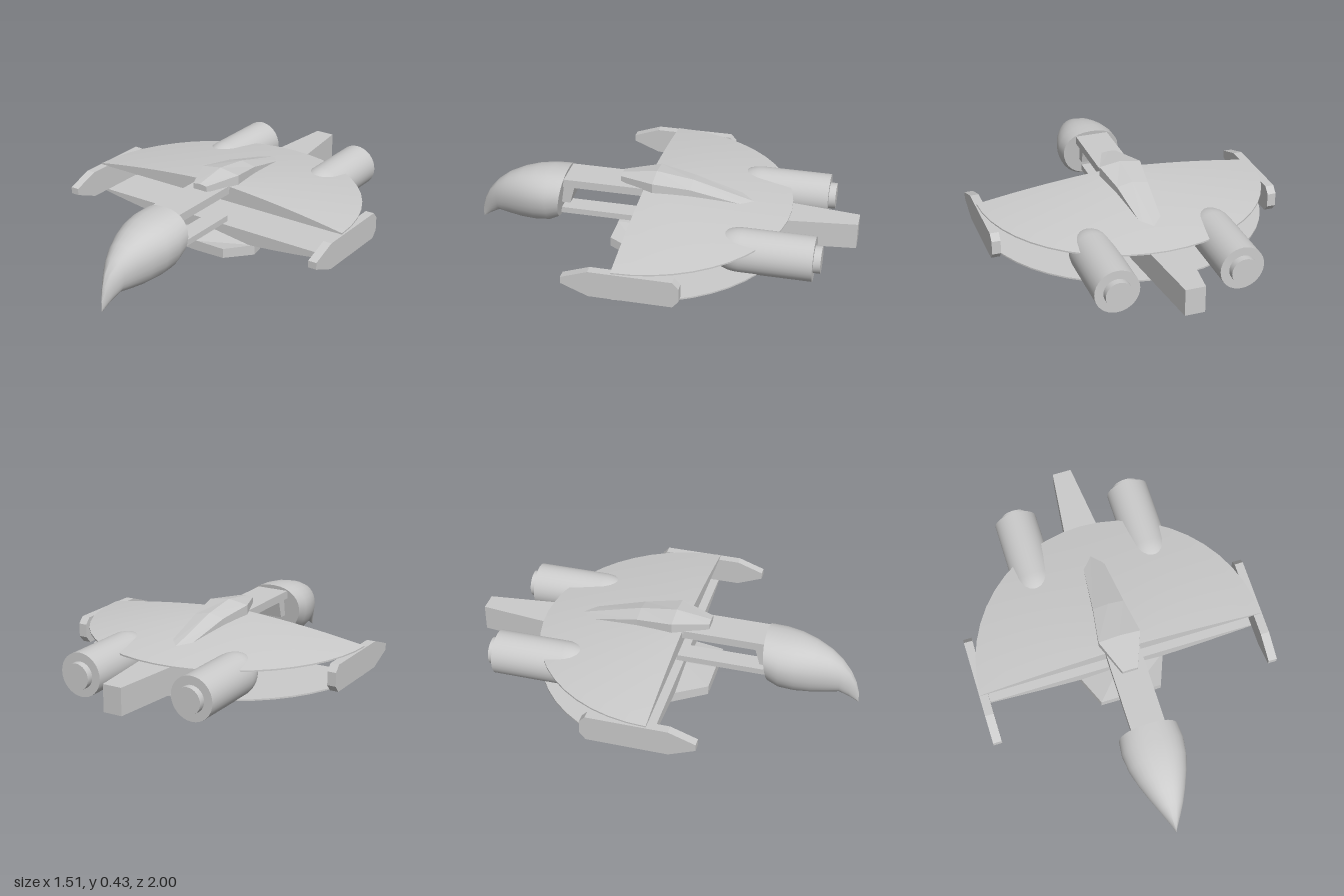
import * as THREE from 'three';
import { toCreasedNormals } from 'three/addons/utils/BufferGeometryUtils.js';

const grey = new THREE.MeshStandardMaterial({ color: 0xcccccc });
const flat = new THREE.MeshStandardMaterial({ color: 0xcccccc, flatShading: true });

function add(parent, name, geometry, material = grey) {
  const mesh = new THREE.Mesh(geometry, material);
  mesh.name = name;
  parent.add(mesh);
  return mesh;
}

// Skin over closed rings of [x, y, z], rear to front, each counterclockwise seen from the front
function loft(rings, crease = 0.5) {
  const pos = [];
  const tri = (...p) => p.forEach((v) => pos.push(...v));
  const n = rings[0].length;
  const centre = (ring) => [0, 1, 2].map((k) => ring.reduce((s, p) => s + p[k], 0) / n);
  const first = rings[0], last = rings[rings.length - 1];
  const c0 = centre(first), c1 = centre(last);
  for (let j = 0; j < n; j++) {
    const k = (j + 1) % n;
    for (let i = 0; i < rings.length - 1; i++) {
      const a = rings[i], b = rings[i + 1];
      tri(a[j], a[k], b[k]);
      tri(a[j], b[k], b[j]);
    }
    tri(c0, first[k], first[j]);
    tri(c1, last[j], last[k]);
  }
  const g = new THREE.BufferGeometry();
  g.setAttribute('position', new THREE.Float32BufferAttribute(pos, 3));
  g.computeVertexNormals();
  return toCreasedNormals(g, crease);
}

// Six-sided section: flat base, upright sides and a ridge at top and bottom
const ridged = ([z, half, low, lowEdge, highEdge, high]) => [
  [0, low, z], [half, lowEdge, z], [half, highEdge, z],
  [0, high, z], [-half, highEdge, z], [-half, lowEdge, z],
];

// Side outline of [z, y] given a thickness across x
function sidePlate(outline, width) {
  const shape = new THREE.Shape(outline.map(([z, y]) => new THREE.Vector2(-z, y)));
  const g = new THREE.ExtrudeGeometry(shape, { depth: width, bevelEnabled: false });
  return g.translate(0, 0, -width / 2).rotateY(Math.PI / 2);
}

function box(w, y0, y1, z0, z1) {
  return new THREE.BoxGeometry(w, y1 - y0, z1 - z0).translate(0, (y0 + y1) / 2, (z0 + z1) / 2);
}

// Half-disc wing with one domed side; flip turns the dome downward
function wing(parent, name, flip) {
  const R = 0.75, N = 14;
  const height = (r) => 0.29 + 0.08 * (1 - (0.45 * r + 0.55 * r * r));
  const mirror = (y) => (flip ? 0.427 - y : y);
  const profile = [new THREE.Vector2(0, mirror(0.282)), new THREE.Vector2(R, mirror(0.282))];
  for (let i = N; i >= 0; i--) profile.push(new THREE.Vector2((R * i) / N, mirror(height(i / N))));
  if (flip) profile.reverse();

  const group = new THREE.Group();
  group.name = name;
  const skin = new THREE.LatheGeometry(profile, 24, Math.PI / 2, Math.PI);
  add(group, 'wingSkin', toCreasedNormals(skin, 0.5));

  // Flat leading edge
  const face = profile.concat(profile.slice(1, -1).reverse().map((p) => new THREE.Vector2(-p.x, p.y)));
  add(group, 'leadingEdge', new THREE.ShapeGeometry(new THREE.Shape(face)));
  group.position.z = 0.09;
  parent.add(group);
}

// Egg-shaped head that droops to a beak
function headGeometry() {
  // z, half width, bottom, top
  const stations = [
    [0.51, 0.155, 0.125, 0.39], [0.6, 0.162, 0.098, 0.386], [0.68, 0.15, 0.086, 0.376],
    [0.76, 0.125, 0.084, 0.355], [0.84, 0.092, 0.09, 0.32], [0.9, 0.063, 0.097, 0.275],
    [0.95, 0.034, 0.068, 0.217], [0.98, 0.015, 0.048, 0.16], [1, 0.002, 0.034, 0.09],
  ];
  const N = 28;
  const rings = stations.map(([z, w, low, high], i) => {
    const ring = [];
    const mid = low + (high - low) * 0.56;
    for (let j = 0; j < N; j++) {
      const a = (j / N) * Math.PI * 2;
      const c = Math.cos(a), s = Math.sin(a);
      const x = w * Math.sign(c) * Math.abs(c) ** 0.85;
      const y = mid + s * (s > 0 ? high - mid : mid - low);
      // The rear opening leans forward toward the bottom
      ring.push([x, y, i === 0 ? z + 0.04 * (high - y) / (high - low) : z]);
    }
    return ring;
  });
  return loft(rings, 0.7);
}

export function createModel() {
  const model = new THREE.Group();
  model.name = 'spacecraft';

  wing(model, 'upperWing', false);
  wing(model, 'lowerWing', true);

  add(model, 'head', headGeometry());

  // Neck: broad upper beam, slim lower beam and a sloped brace behind the head
  add(model, 'upperNeck', box(0.176, 0.325, 0.368, 0.05, 0.54));
  add(model, 'lowerNeck', box(0.1, 0.146, 0.178, 0.05, 0.56));
  add(model, 'neckBrace', sidePlate([[0.56, 0.22], [0.49, 0.22], [0.46, 0.33], [0.56, 0.33]], 0.13));

  // Raised spine on the upper wing
  add(model, 'dorsalFin', loft([
    [-0.47, 0.05, 0.28, 0.28, 0.31, 0.318], [-0.15, 0.082, 0.3, 0.3, 0.388, 0.405],
    [0.04, 0.11, 0.34, 0.34, 0.414, 0.431], [0.22, 0.04, 0.372, 0.372, 0.4, 0.405],
  ].map(ridged), 0.1), flat);

  // Faceted keel under the lower wing
  add(model, 'keel', loft([
    [-0.28, 0.185, 0.045, 0.05, 0.085, 0.085], [-0.1, 0.208, 0.016, 0.025, 0.1, 0.1],
    [0.07, 0.232, 0, 0.014, 0.068, 0.1], [0.25, 0.162, 0.046, 0.05, 0.1, 0.1],
  ].map(ridged), 0.1), flat);

  // Tapering tail boom
  add(model, 'tailBoom', loft([
    [-1, 0.05, 0.145, 0.145, 0.283, 0.283], [-0.35, 0.122, 0.145, 0.145, 0.283, 0.283],
  ].map(ridged), 0.1), flat);

  // Engines: rounded nose, long barrel and stepped nozzle
  const engineProfile = [[0, -0.855], [0.068, -0.855], [0.068, -0.82], [0.112, -0.82]]
    .map(([r, z]) => new THREE.Vector2(r, z));
  for (let i = 0; i <= 10; i++) {
    const a = (i / 10) * Math.PI / 2;
    engineProfile.push(new THREE.Vector2(0.112 * Math.cos(a), -0.46 + 0.16 * Math.sin(a)));
  }
  const engine = toCreasedNormals(new THREE.LatheGeometry(engineProfile, 32).rotateX(Math.PI / 2), 0.6);

  // Wingtip pods with pointed fronts
  const pod = sidePlate([
    [0.335, 0.2], [0.335, 0.235], [0.2, 0.283], [-0.21, 0.283], [-0.24, 0.25],
    [-0.24, 0.18], [-0.21, 0.145], [0.2, 0.145],
  ], 0.045);

  for (const side of [1, -1]) {
    const label = side > 0 ? 'left' : 'right';
    add(model, label + 'Engine', engine).position.set(side * 0.313, 0.222, 0);
    add(model, label + 'WingtipPod', pod).position.x = side * 0.735;
  }
  return model;
}
